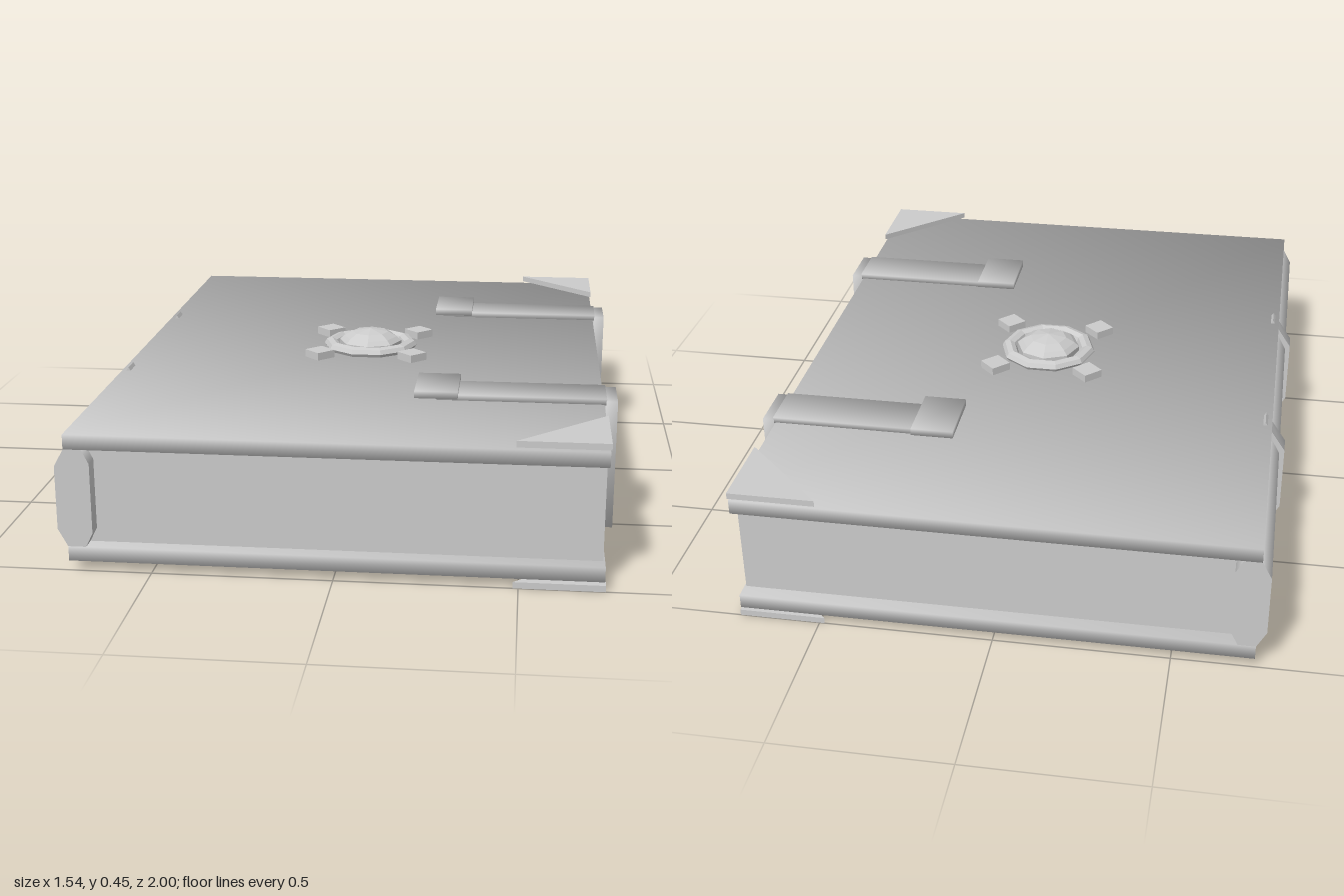
import * as THREE from 'three';
import { toCreasedNormals } from 'three/addons/utils/BufferGeometryUtils.js';

const grey = new THREE.MeshStandardMaterial({ color: 0xcccccc });
grey.name = 'plain grey';

export function createModel() {
  const book = new THREE.Group();
  book.name = 'book';

  const add = (name, geometry) => {
    const mesh = new THREE.Mesh(geometry, grey);
    mesh.name = name;
    book.add(mesh);
    return mesh;
  };

  // Box from its limits; soft boxes share one diagonal normal per corner
  const box = (name, [x0, x1], [y0, y1], [z0, z1], soft = true) => {
    const g = new THREE.BoxGeometry(x1 - x0, y1 - y0, z1 - z0);
    if (soft) {
      const p = g.attributes.position, k = Math.sqrt(1 / 3);
      for (let i = 0; i < p.count; i++) {
        g.attributes.normal.setXYZ(i, Math.sign(p.getX(i)) * k, Math.sign(p.getY(i)) * k, Math.sign(p.getZ(i)) * k);
      }
    }
    g.translate((x0 + x1) / 2, (y0 + y1) / 2, (z0 + z1) / 2);
    return add(name, g);
  };

  // Outline in x and y, extruded along z around a centre
  const prism = (points, depth, z) => {
    const shape = new THREE.Shape(points.map(([x, y]) => new THREE.Vector2(x, y)));
    const g = new THREE.ExtrudeGeometry(shape, { depth, bevelEnabled: false });
    g.translate(0, 0, z - depth / 2);
    return toCreasedNormals(g, 1.2);
  };

  // Faceted turned part standing on the y axis
  const turned = (points, sides) => {
    const profile = points.map(([r, y]) => new THREE.Vector2(r, y));
    const g = new THREE.LatheGeometry(profile, sides, Math.PI / 2).toNonIndexed();
    g.computeVertexNormals();
    return g;
  };

  // Covers and page block
  box('topCover', [-0.73, 0.73], [0.35, 0.392], [-1, 1]);
  box('bottomCover', [-0.73, 0.73], [0.028, 0.07], [-1, 1]);
  box('pages', [-0.69, 0.725], [0.07, 0.35], [-0.955, 0.955], false);

  // Rounded spine
  add('spine', prism([
    [-0.757, 0.12], [-0.73, 0.07], [-0.68, 0.07], [-0.66, 0.11],
    [-0.66, 0.31], [-0.68, 0.35], [-0.73, 0.35], [-0.757, 0.3],
  ], 2, 0));

  for (const side of [-1, 1]) {
    const end = side < 0 ? 'back' : 'front';

    // Raised band around the spine
    add(end + 'SpineBand', prism([
      [-0.772, 0.11], [-0.71, 0.015], [-0.65, 0.11],
      [-0.65, 0.31], [-0.71, 0.402], [-0.772, 0.31],
    ], 0.06, side * 0.335));

    // Strap over the top and down the open edge, with its clasp plate
    const z = side * 0.502;
    box(end + 'StrapTop', [0.25, 0.737], [0.39, 0.408], [z - 0.074, z + 0.074]);
    box(end + 'StrapDrop', [0.735, 0.768], [0.02, 0.402], [z - 0.076, z + 0.076]);
    box(end + 'ClaspPlate', [0.187, 0.312], [0.402, 0.423], [z - 0.097, z + 0.097]);

    // Triangular corner guards above and below
    for (const [level, top] of [['Top', 0.416], ['Bottom', 0.018]]) {
      const points = [[0.733, side], [0.485, side], [0.733, side * 0.755]];
      const shape = new THREE.Shape(points.map(([x, y]) => new THREE.Vector2(x, y)));
      const g = new THREE.ExtrudeGeometry(shape, { depth: 0.018, bevelEnabled: false });
      g.rotateX(Math.PI / 2);
      g.translate(0, top, 0);
      add(end + level + 'CornerGuard', g);
    }

    // Diamond studs around the medallion
    for (const x of [-0.146, 0.146]) {
      const stud = add(end + (x < 0 ? 'Right' : 'Left') + 'Stud',
        new THREE.CylinderGeometry(0.046, 0.046, 0.024, 4));
      stud.geometry = toCreasedNormals(stud.geometry, 0.5);
      stud.position.set(x, 0.404, side * 0.146);
    }
  }

  // Medallion ring and cut gem
  add('medallionRing', turned([
    [0.142, 0.39], [0.15, 0.402], [0.142, 0.415], [0.125, 0.42], [0.11, 0.412], [0.1, 0.39],
  ], 10));
  add('gem', turned([[0.1, 0.39], [0.1, 0.415], [0.085, 0.428], [0.058, 0.443], [0, 0.453]], 8));

  return book;
}
